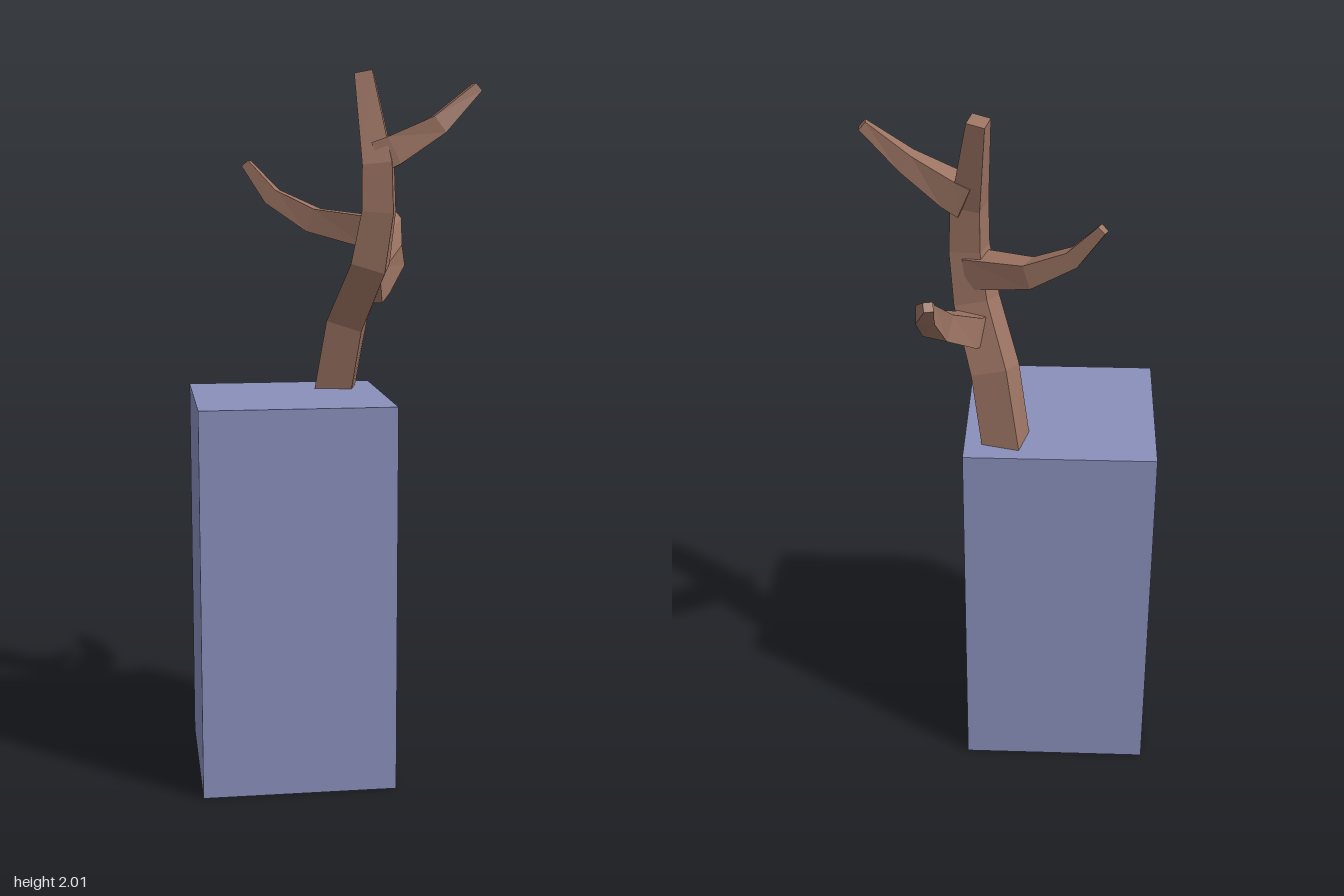
import * as THREE from 'three';

const bark = new THREE.MeshStandardMaterial({ color: 0x9c7463, flatShading: true });
const stone = new THREE.MeshStandardMaterial({ color: 0x8a90bc, flatShading: true });

// Square-section limb: rings are [x, y, z, half width], squared to the path
function limb(name, rings, ref) {
  const centres = rings.map(r => new THREE.Vector3(r[0], r[1], r[2]));
  const pos = [], idx = [];
  const last = rings.length - 1;
  rings.forEach((r, i) => {
    const t = new THREE.Vector3();
    if (i > 0) t.add(centres[i].clone().sub(centres[i - 1]).normalize());
    if (i < last) t.add(centres[i + 1].clone().sub(centres[i]).normalize());
    t.normalize();
    const u = new THREE.Vector3().crossVectors(ref, t).normalize();
    const v = new THREE.Vector3().crossVectors(t, u);
    for (const [a, b] of [[-1, -1], [1, -1], [1, 1], [-1, 1]]) {
      const p = centres[i].clone().addScaledVector(u, a * r[3]).addScaledVector(v, b * r[3]);
      pos.push(p.x, p.y, p.z);
    }
  });
  for (let i = 0; i < last; i++) {
    for (let k = 0; k < 4; k++) {
      const a = i * 4 + k, b = i * 4 + (k + 1) % 4;
      idx.push(a, b, b + 4, a, b + 4, a + 4);
    }
  }
  // End caps
  const e = last * 4;
  idx.push(0, 2, 1, 0, 3, 2, e, e + 1, e + 2, e, e + 2, e + 3);
  const g = new THREE.BufferGeometry();
  g.setAttribute('position', new THREE.Float32BufferAttribute(pos, 3));
  g.setIndex(idx);
  const flat = g.toNonIndexed();
  flat.computeVertexNormals();
  const mesh = new THREE.Mesh(flat, bark);
  mesh.name = name;
  return mesh;
}

export function createModel() {
  const model = new THREE.Group();
  model.name = 'treeOnBlock';

  // Pedestal
  const block = new THREE.Mesh(new THREE.BoxGeometry(0.543, 1.09, 0.543), stone);
  block.position.set(-0.141, 0.545, 0.067);
  block.name = 'block';
  model.add(block);

  // Tree: bent trunk and three tapering branches
  const tree = new THREE.Group();
  tree.name = 'tree';
  const twist = 0.24;
  const up = new THREE.Vector3(0, 1, 0);
  tree.add(
    limb('trunk', [
      [0.012, 1.07, -0.098, 0.054],
      [0.045, 1.29, -0.055, 0.053],
      [0.1, 1.46, 0.035, 0.05],
      [0.12, 1.61, 0.058, 0.045],
      [0.118, 1.74, 0.058, 0.042],
      [0.087, 1.995, -0.008, 0.026],
    ], new THREE.Vector3(-Math.sin(twist), 0, Math.cos(twist))),
    limb('rightBranch', [
      [0.11, 1.55, 0.045, 0.045],
      [-0.055, 1.583, -0.045, 0.034],
      [-0.17, 1.65, -0.085, 0.024],
      [-0.243, 1.745, -0.115, 0.013],
    ], up),
    limb('leftBranch', [
      [0.12, 1.76, 0.045, 0.045],
      [0.165, 1.78, 0.055, 0.042],
      [0.287, 1.852, 0.075, 0.028],
      [0.4, 1.957, 0.06, 0.014],
    ], up),
    limb('backBranch', [
      [0.09, 1.39, 0.02, 0.045],
      [0.125, 1.41, -0.05, 0.043],
      [0.193, 1.475, -0.155, 0.037],
      [0.215, 1.562, -0.265, 0.025],
      [0.2, 1.615, -0.328, 0.013],
    ], up),
  );
  model.add(tree);
  return model;
}
